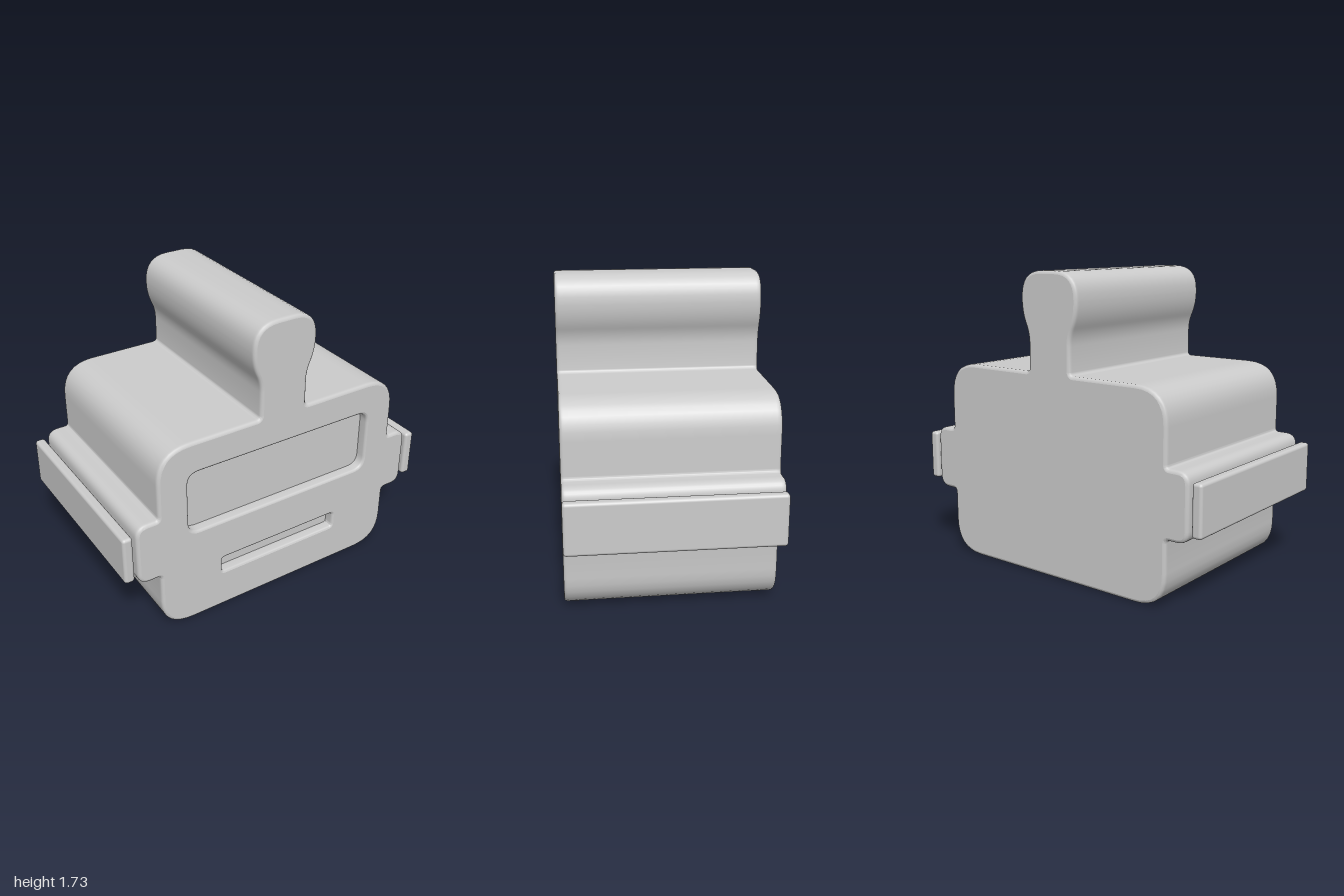
import * as THREE from 'three';
import { mergeGeometries, toCreasedNormals } from 'three/addons/utils/BufferGeometryUtils.js';
import { RoundedBoxGeometry } from 'three/addons/geometries/RoundedBoxGeometry.js';

const HALF = 0.583;   // half depth
const BEVEL = 0.018;
const RECESS = 0.06;  // depth of the face recesses

// Closed outline from corners [x, y, radius], counter-clockwise
function roundedOutline(corners, steps = 8) {
  const pts = [];
  corners.forEach(([x, y, r], i) => {
    const c = new THREE.Vector2(x, y);
    const toward = (k) => {
      const [nx, ny] = corners[(i + k + corners.length) % corners.length];
      return c.clone().add(new THREE.Vector2(nx - x, ny - y).setLength(r));
    };
    pts.push(...new THREE.QuadraticBezierCurve(toward(-1), c, toward(1)).getPoints(steps));
  });
  return pts.filter((p, i) => p.distanceTo(pts[(i + 1) % pts.length]) > 1e-4);
}

// Move an outline inward by d with mitred corners
function inset(pts, d) {
  const n = pts.length;
  return pts.map((p, i) => {
    const a = p.clone().sub(pts[(i + n - 1) % n]).normalize();
    const b = pts[(i + 1) % n].clone().sub(p).normalize();
    const m = new THREE.Vector2(-a.y - b.y, a.x + b.x).normalize();
    const k = d / Math.max(0.5, m.x * -a.y + m.y * a.x);
    return p.clone().addScaledVector(m, k);
  });
}

// Wall through rings [inset, z]; rising z faces outward, falling z faces inward
function wall(pts, rings) {
  const loops = rings.map(([d, z]) => inset(pts, d).map((p) => [p.x, p.y, z]));
  const pos = [];
  for (let j = 0; j < loops.length - 1; j++) {
    for (let i = 0; i < pts.length; i++) {
      const k = (i + 1) % pts.length;
      const a = loops[j][i], b = loops[j][k], c = loops[j + 1][k], d = loops[j + 1][i];
      pos.push(...a, ...b, ...c, ...a, ...c, ...d);
    }
  }
  const g = new THREE.BufferGeometry();
  g.setAttribute('position', new THREE.Float32BufferAttribute(pos, 3));
  return toCreasedNormals(g, 0.7);
}

// Flat cap, optionally with holes
function cap(pts, z, holes = []) {
  const shape = new THREE.Shape(pts);
  shape.holes = holes.map((h) => new THREE.Path(h));
  const g = new THREE.ShapeGeometry(shape).toNonIndexed().translate(0, 0, z);
  g.deleteAttribute('uv');
  return g;
}

function rectOutline(w, y0, y1, r) {
  return roundedOutline([[w, y0, r], [w, y1, r], [-w, y1, r], [-w, y0, r]]);
}

export function createModel() {
  const group = new THREE.Group();
  const material = new THREE.MeshStandardMaterial({ color: 0xcccccc });
  const add = (name, geometry) => {
    const mesh = new THREE.Mesh(geometry, material);
    mesh.name = name;
    group.add(mesh);
    return mesh;
  };

  // Body silhouette: box head, side lugs, stem and knob; mirrored in x
  const side = [
    [0.785, 0, 0.2], [0.785, 0.385, 0.02], [0.92, 0.385, 0.07],
    [0.92, 0.762, 0.07], [0.785, 0.762, 0.02], [0.785, 1.172, 0.2],
    [0.148, 1.172, 0.025], [0.148, 1.38, 0.05], [0.2, 1.5, 0.07], [0.2, 1.73, 0.15],
  ];
  const mirrored = side.map(([x, y, r]) => [-x, y, r]).reverse();
  const outline = roundedOutline([...side, ...mirrored]);

  const recesses = {
    visorRecess: rectOutline(0.62, 0.587, 1.0, 0.09),
    mouthRecess: rectOutline(0.408, 0.23, 0.358, 0.035),
  };

  // Rounded edge profile from the side wall to the front
  const edge = [[0, HALF - BEVEL - 0.01]];
  for (let i = 0; i <= 3; i++) {
    const t = (i / 3) * Math.PI / 2;
    edge.push([BEVEL * (1 - Math.cos(t)), HALF - BEVEL * (1 - Math.sin(t))]);
  }
  const backEdge = edge.map(([d, z]) => [d, -z]).reverse();
  const face = inset(outline, BEVEL);
  add('body', mergeGeometries([
    wall(outline, [...backEdge, ...edge]),
    cap(face, HALF, Object.values(recesses)),
    cap(face, -HALF).rotateY(Math.PI).translate(0, 0, -2 * HALF),
  ].map((g, i) => (i === 2 ? g.translate(0, 0, 0) : g))));

  // Sunken panels in the front
  for (const [name, pts] of Object.entries(recesses)) {
    const lip = [0, 1, 2, 3].map((i) => {
      const t = (i / 3) * Math.PI / 2;
      return [0.015 * Math.sin(t), HALF - 0.015 * (1 - Math.cos(t))];
    });
    add(name, mergeGeometries([
      wall(pts, [...lip, [0.015, HALF - RECESS]]),
      cap(inset(pts, 0.015), HALF - RECESS),
    ]));
  }

  // Free-standing plates beside the lugs
  for (const s of [1, -1]) {
    const plate = add(s > 0 ? 'leftSidePlate' : 'rightSidePlate',
      new RoundedBoxGeometry(0.06, 0.29, 2 * HALF, 3, 0.018));
    plate.position.set(s * 0.97, 0.573, 0);
  }
  return group;
}
